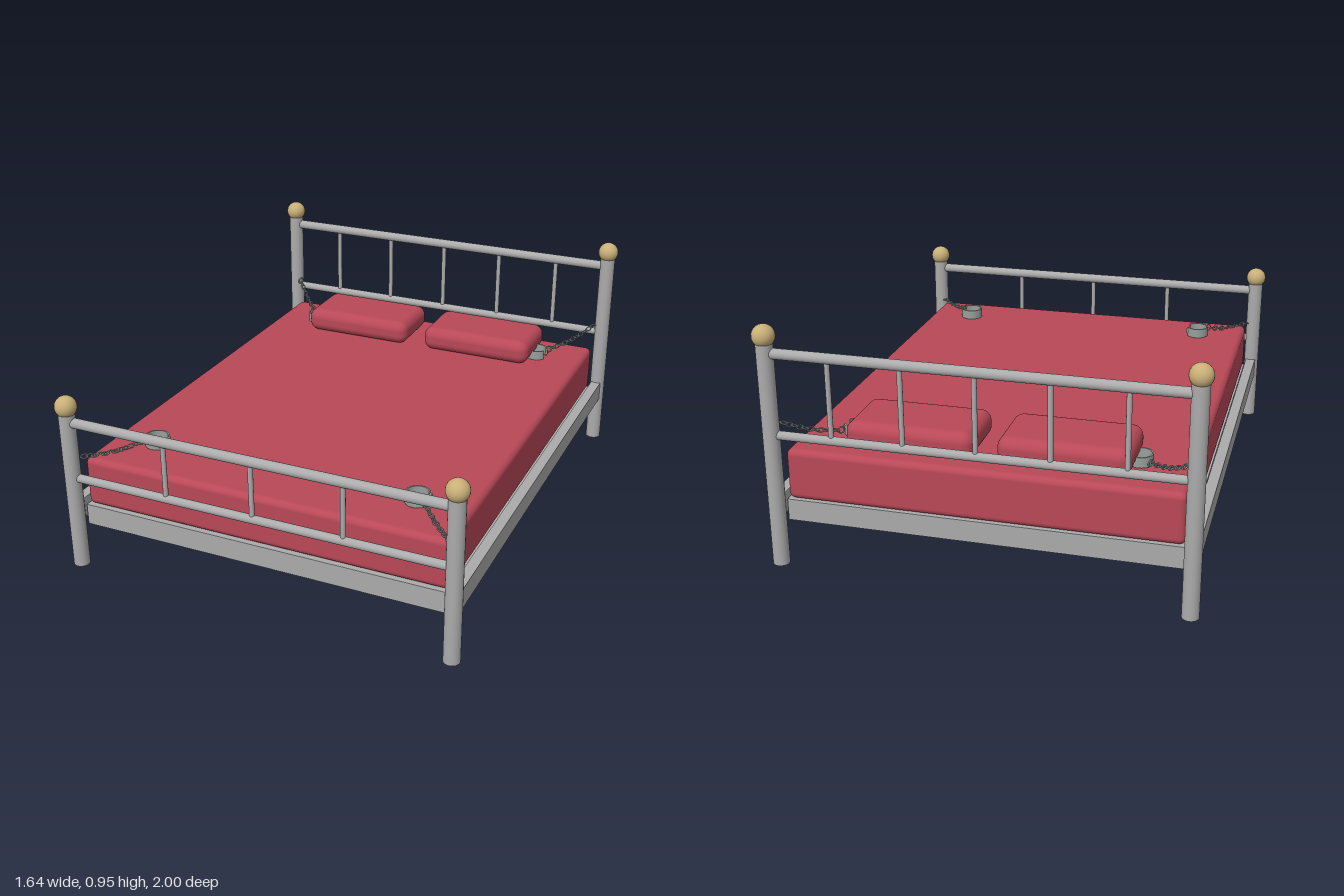
import * as THREE from 'three';
import { RoundedBoxGeometry } from 'three/addons/geometries/RoundedBoxGeometry.js';

const mat = (name, color) => {
  const m = new THREE.MeshStandardMaterial({ color });
  m.name = name;
  return m;
};

export function createModel() {
  const steel = mat('steel', 0xababab);
  const red = mat('redFabric', 0xb94857);
  const brass = mat('brass', 0xc9b078);
  const chainSteel = mat('chainSteel', 0x98a09c);

  const bed = new THREE.Group();
  bed.name = 'bed';

  const add = (name, geo, material, x, y, z, parent = bed) => {
    const m = new THREE.Mesh(geo, material);
    m.name = name;
    m.position.set(x, y, z);
    parent.add(m);
    return m;
  };

  const PX = 0.775, PZ = 0.957;

  // Headboard and footboard: posts, knobs, two rails and spindles
  const endFrame = (name, z, ballY, topY, lowY, spindles) => {
    const g = new THREE.Group();
    g.name = name;
    bed.add(g);
    for (const s of [-1, 1]) {
      const h = ballY - 0.02;
      add('post', new THREE.CylinderGeometry(0.032, 0.032, h, 24), steel, s * PX, h / 2, z, g);
      add('knob', new THREE.SphereGeometry(0.043, 24, 16), brass, s * PX, ballY, z, g);
    }
    for (const [n, y, r] of [['topRail', topY, 0.02], ['lowerRail', lowY, 0.017]]) {
      add(n, new THREE.CylinderGeometry(r, r, 2 * PX, 20), steel, 0, y, z, g).rotation.z = Math.PI / 2;
    }
    for (const x of spindles) {
      add('spindle', new THREE.CylinderGeometry(0.01, 0.01, topY - lowY, 12), steel, x, (topY + lowY) / 2, z, g);
    }
  };
  endFrame('headboard', -PZ, 0.905, 0.84, 0.525, [-0.54, -0.27, 0, 0.27, 0.54]);
  endFrame('footboard', PZ, 0.68, 0.617, 0.383, [-0.36, 0, 0.36]);

  // Base, side rails, mattress and pillows
  add('base', new THREE.BoxGeometry(1.49, 0.085, 1.86), steel, 0, 0.2125, 0);
  for (const s of [-1, 1]) {
    add('sideRail', new THREE.BoxGeometry(0.042, 0.082, 1.87), steel, s * 0.774, 0.241, 0);
    add('pillow', new RoundedBoxGeometry(0.49, 0.104, 0.285, 4, 0.042), red, s * 0.288, 0.507, -0.725);
  }
  add('mattress', new RoundedBoxGeometry(1.485, 0.2, 1.85, 3, 0.025), red, 0, 0.355, -0.003);

  // Open band with a constant wall thickness
  const cuffShape = new THREE.Shape();
  cuffShape.absarc(0, 0, 0.047, 0.5, 5.75, false);
  cuffShape.absarc(0, 0, 0.041, 5.75, 0.5, true);
  cuffShape.closePath();
  const cuffGeo = new THREE.ExtrudeGeometry(cuffShape, { depth: 0.04, bevelEnabled: false, curveSegments: 24 });
  cuffGeo.rotateX(-Math.PI / 2);

  // Chain links alternate in orientation along the line from cuff to post
  const linkGeo = new THREE.TorusGeometry(0.009, 0.0028, 6, 12);
  linkGeo.scale(1.4, 1, 1);
  const ringGeo = new THREE.TorusGeometry(0.013, 0.003, 6, 16);
  const chain = (a, b, parent) => {
    const n = 11;
    const dir = b.clone().sub(a).normalize();
    const aim = new THREE.Quaternion().setFromUnitVectors(new THREE.Vector3(1, 0, 0), dir);
    for (let i = 0; i <= n; i++) {
      const t = i / n;
      const p = a.clone().lerp(b, t);
      p.y -= 0.012 * Math.sin(Math.PI * t);
      const end = i === 0 || i === n;
      const link = add(end ? 'endRing' : 'chainLink', end ? ringGeo : linkGeo, chainSteel, p.x, p.y, p.z, parent);
      const twist = new THREE.Quaternion().setFromAxisAngle(new THREE.Vector3(1, 0, 0), (i % 2) * Math.PI / 2);
      link.quaternion.copy(aim).multiply(twist);
    }
  };

  // One cuff and chain at every corner
  for (const sx of [-1, 1]) {
    for (const sz of [-1, 1]) {
      const g = new THREE.Group();
      g.name = 'restraint';
      bed.add(g);
      const cx = sx * 0.542, cz = sz * 0.718;
      add('cuff', cuffGeo, chainSteel, cx, 0.458, cz, g);
      add('cuffLock', new THREE.BoxGeometry(0.008, 0.022, 0.016), brass, cx + 0.043, 0.48, cz - 0.016, g);
      chain(
        new THREE.Vector3(cx + sx * 0.045, 0.482, cz + sz * 0.045),
        new THREE.Vector3(sx * 0.74, sz < 0 ? 0.56 : 0.462, sz * 0.922), g);
    }
  }
  return bed;
}
